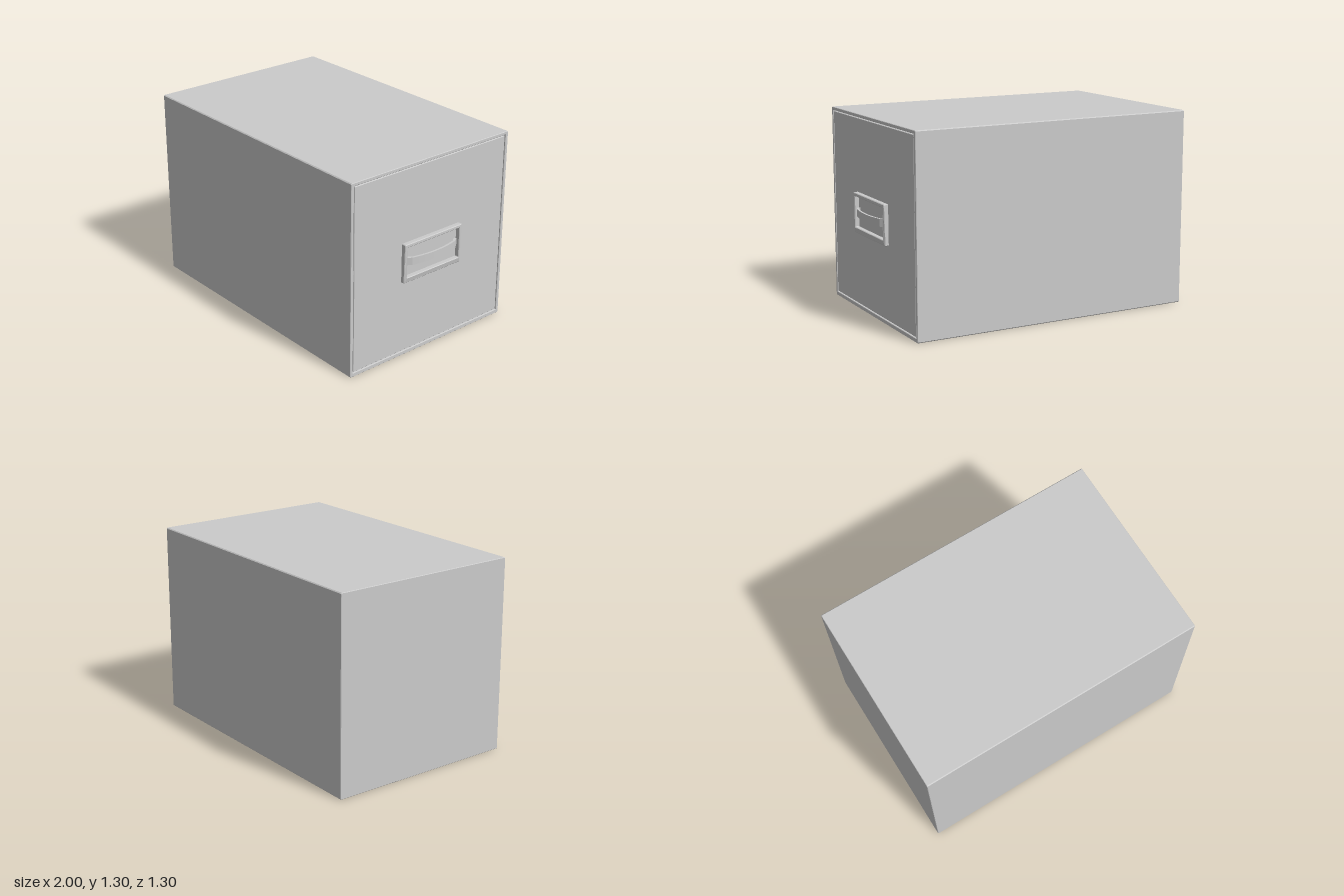
import * as THREE from 'three';

const grey = new THREE.MeshStandardMaterial({ color: 0xcccccc, flatShading: true });

// Rectangle outline with small cut corners
function outline(Kind, x0, x1, y0, y1, c) {
  const pts = [[x0 + c, y0], [x1 - c, y0], [x1, y0 + c], [x1, y1 - c],
    [x1 - c, y1], [x0 + c, y1], [x0, y1 - c], [x0, y0 + c]];
  return new Kind(pts.map(([x, y]) => new THREE.Vector2(x, y)));
}

// Extrude a (z, y) outline along x, from xa to xb, with bevelled ends
function slab(shape, xa, xb, bevel) {
  const g = new THREE.ExtrudeGeometry(shape, {
    depth: xb - xa - 2 * bevel, bevelEnabled: bevel > 0, bevelSize: bevel,
    bevelThickness: bevel, bevelOffset: -bevel, bevelSegments: 1,
  });
  return g.rotateY(Math.PI / 2).translate(xa + bevel, 0, 0);
}

export function createModel() {
  const model = new THREE.Group();
  const add = (name, geometry, parent = model) => {
    const mesh = new THREE.Mesh(geometry, grey);
    mesh.name = name;
    parent.add(mesh);
    return mesh;
  };

  // Cabinet shell, open towards +x
  const shell = outline(THREE.Shape, -0.65, 0.65, 0, 1.3, 0.006);
  shell.holes.push(outline(THREE.Path, -0.628, 0.628, 0.027, 1.278, 0.001));
  add('cabinetShell', slab(shell, -1, 0.945, 0.003));

  // Closed back of the cabinet
  add('cabinetBack', new THREE.BoxGeometry(0.02, 1.26, 1.265).translate(-0.99, 0.6525, 0));

  // Drawer front, set in the opening with a thin gap
  add('drawerFront', slab(outline(THREE.Shape, -0.623, 0.623, 0.032, 1.273, 0.002), 0.9, 0.943, 0.003));
  add('drawerBody', new THREE.BoxGeometry(1.87, 1.2, 1.2).translate(-0.035, 0.652, 0));

  const handle = new THREE.Group();
  handle.name = 'handle';
  model.add(handle);

  // Handle frame; its lower border slopes back towards the drawer
  const frame = outline(THREE.Shape, -0.241, 0.241, 0.522, 0.788, 0.004);
  frame.holes.push(outline(THREE.Path, -0.22, 0.22, 0.56, 0.765, 0.003));
  const frameGeo = slab(frame, 0.94, 0.975, 0.004);
  const p = frameGeo.attributes.position;
  for (let i = 0; i < p.count; i++) {
    if (p.getY(i) < 0.54 && p.getX(i) > 0.96) p.setX(i, p.getX(i) - 0.006);
  }
  frameGeo.computeVertexNormals();
  add('handleFrame', frameGeo, handle);

  // Bowed grip: steep ends and a shallow arc, drawn in (x, z)
  const arc = [];
  for (let i = 0; i <= 16; i++) {
    const t = i / 8 - 1;
    arc.push([1 - 0.023 * t * t, 0.18 * t]);
  }
  const outer = [[0.943, -0.216], [0.955, -0.216], ...arc, [0.955, 0.216], [0.943, 0.216]];
  const inner = arc.map(([x, z]) => [x - 0.014, z * 0.98]).reverse();
  const gripShape = new THREE.Shape(
    [...outer, [0.943, 0.202], ...inner, [0.943, -0.202]].map(([x, z]) => new THREE.Vector2(x, -z)));
  const grip = new THREE.ExtrudeGeometry(gripShape, { depth: 0.05, bevelEnabled: false });
  add('handleGrip', grip.rotateX(-Math.PI / 2).translate(0, 0.638, 0), handle);

  return model;
}
